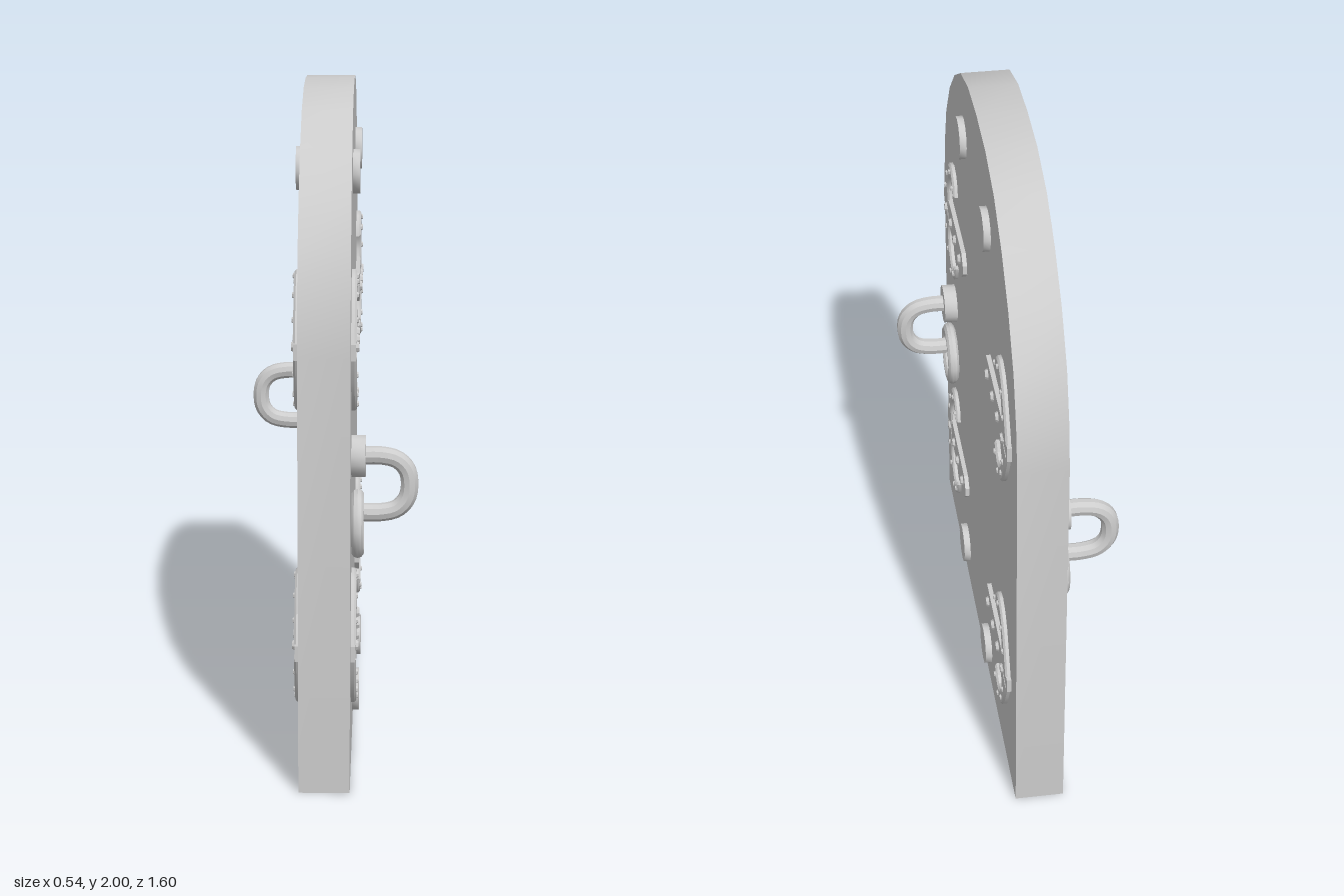
import * as THREE from 'three';
import { toCreasedNormals } from 'three/addons/utils/BufferGeometryUtils.js';

const material = new THREE.MeshStandardMaterial({ color: 0xcccccc });
const HALF = 0.075; // half the door's thickness

function add(parent, name, geometry, x = 0, y = 0, z = 0) {
  const mesh = new THREE.Mesh(toCreasedNormals(geometry, 0.6), material);
  mesh.name = name;
  mesh.position.set(x, y, z);
  parent.add(mesh);
  return mesh;
}

const shapeOf = (points) => new THREE.Shape(points.map(([x, y]) => new THREE.Vector2(x, y)));

// Disc whose axis points along z, standing on z = 0
function disc(radius, height, sides, top = radius) {
  return new THREE.CylinderGeometry(top, radius, height, sides)
    .rotateX(Math.PI / 2).translate(0, 0, height / 2);
}

// Round-topped slab, drawn facing z and then turned to face x
function createPanel() {
  const arch = [[0.8, 0], [0.8, 1.3], [0.777, 1.447], [0.725, 1.597], [0.626, 1.737],
    [0.5, 1.853], [0.352, 1.943], [0.18, 1.99]];
  const mirrored = arch.map(([x, y]) => [-x, y]).reverse();
  const geometry = new THREE.ExtrudeGeometry(shapeOf([...arch, [0, 2], ...mirrored]),
    { depth: 2 * HALF, bevelEnabled: false });
  return geometry.translate(0, 0, -HALF).rotateY(Math.PI / 2);
}

// Strap hinge: pointed bar toward +x, end nub and two curled horns
function createHinge() {
  const hinge = new THREE.Group();
  hinge.name = 'strapHinge';
  const flat = { depth: 0.014, bevelEnabled: false };
  add(hinge, 'strap', new THREE.ExtrudeGeometry(shapeOf([
    [-0.703, -0.024], [-0.665, -0.024], [-0.665, -0.045], [-0.275, -0.045], [-0.243, -0.015],
    [-0.243, 0.015], [-0.275, 0.045], [-0.665, 0.045], [-0.665, 0.024], [-0.703, 0.024],
  ]), flat));
  // Horn outline: outer edge up to the tip, inner edge back to the bar
  const horn = [[-0.69, 0.02], [-0.672, 0.06], [-0.65, 0.1], [-0.618, 0.155], [-0.58, 0.193],
    [-0.532, 0.21], [-0.49, 0.2], [-0.463, 0.175], [-0.453, 0.137], [-0.475, 0.137],
    [-0.485, 0.158], [-0.51, 0.17], [-0.54, 0.165], [-0.572, 0.14], [-0.594, 0.1],
    [-0.598, 0.07], [-0.585, 0.04], [-0.6, 0]];
  for (const side of [1, -1]) {
    const points = horn.map(([x, y]) => [x, y * side]);
    add(hinge, 'horn', new THREE.ExtrudeGeometry(shapeOf(points), {
      depth: 0.01, bevelThickness: 0.006, bevelSize: 0.006, bevelOffset: -0.006, bevelSegments: 1,
    }));
    // Small beads along the horn
    for (const [x, y] of [[-0.63, 0.08], [-0.596, 0.146], [-0.53, 0.19], [-0.472, 0.163]]) {
      add(hinge, 'bead', disc(0.011, 0.007, 6, 0.007), x, y * side, 0.014);
    }
  }
  for (const x of [-0.62, -0.52, -0.42, -0.31]) {
    add(hinge, 'rivet', disc(0.018, 0.01, 8, 0.013), x, 0, 0.013);
  }
  return hinge;
}

// Boss with a bent link that carries a hanging ring
function createHandle() {
  const handle = new THREE.Group();
  handle.name = 'ringHandle';
  add(handle, 'boss', disc(0.063, 0.042, 14), 0, 0.955, 0);
  const path = new THREE.CatmullRomCurve3([
    [0.02, 0.957], [0.09, 0.957], [0.135, 0.945], [0.163, 0.915], [0.171, 0.87],
    [0.163, 0.828], [0.135, 0.797], [0.09, 0.785], [0.01, 0.785],
  ].map(([z, y]) => new THREE.Vector3(0, y, z)));
  add(handle, 'link', new THREE.TubeGeometry(path, 28, 0.027, 10, false));
  add(handle, 'ring', new THREE.TorusGeometry(0.086, 0.019, 10, 12), 0, 0.75, 0.019);
  handle.position.x = -0.557;
  return handle;
}

// All fittings on one face of the door, in a frame whose z points outward
function createFace() {
  const face = new THREE.Group();
  face.name = 'faceFittings';
  for (const y of [0.393, 1.296]) {
    for (const turn of [0, Math.PI]) {
      const hinge = createHinge();
      hinge.position.y = y;
      hinge.rotation.z = turn;
      face.add(hinge);
    }
  }
  for (const x of [-0.289, 0.225]) {
    for (const y of [0.135, 1.755]) add(face, 'stud', disc(0.066, 0.021, 12), x, y, 0);
  }
  face.add(createHandle());
  return face;
}

export function createModel() {
  const model = new THREE.Group();
  model.name = 'archedDoor';
  add(model, 'doorPanel', createPanel());
  // The same fittings on both faces, turned half a circle
  for (const side of [1, -1]) {
    const face = createFace();
    face.rotation.y = side * Math.PI / 2;
    face.position.x = side * HALF;
    model.add(face);
  }
  return model;
}
